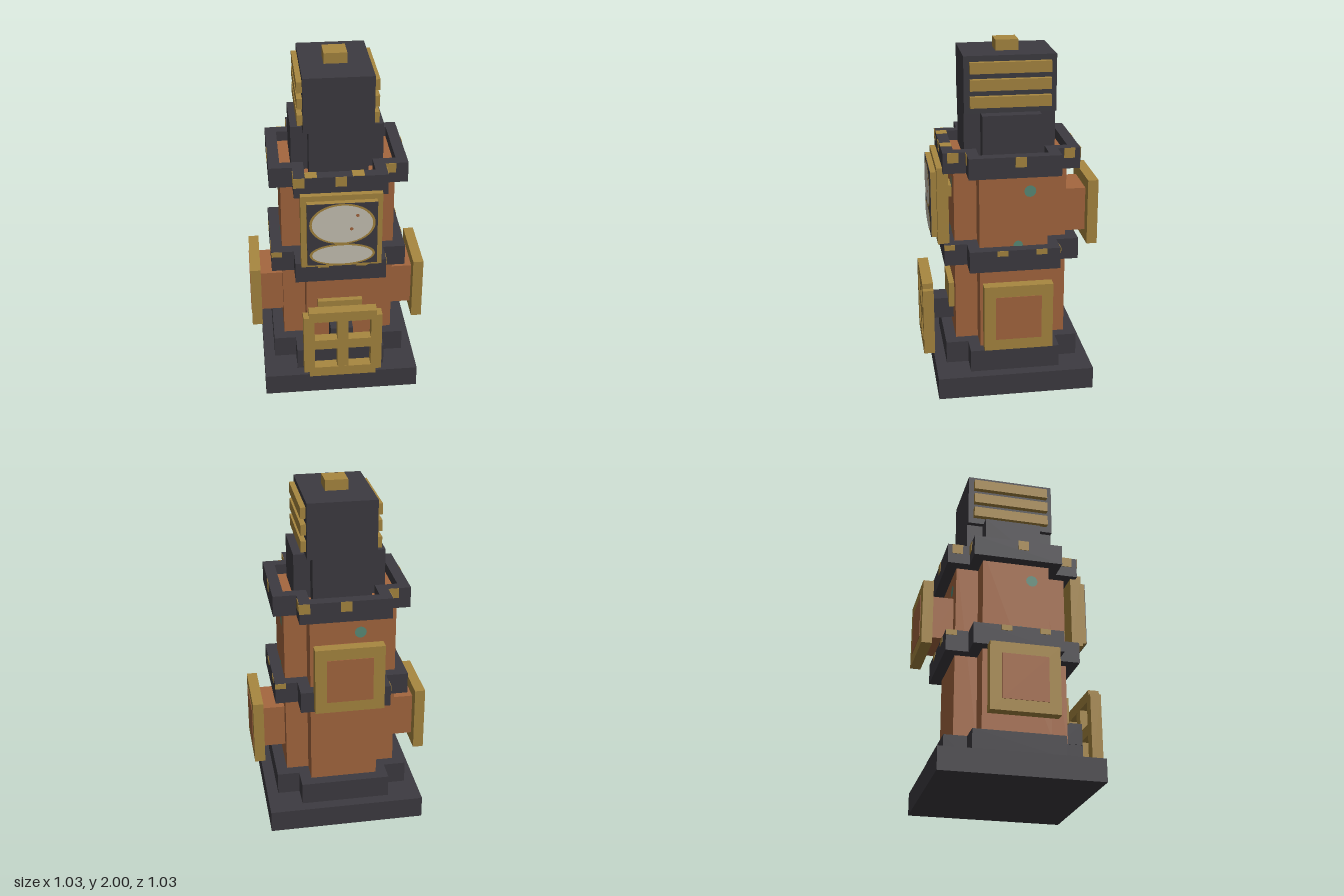
import * as THREE from 'three';

export function createModel() {
  const model = new THREE.Group();
  model.name = 'clockTower';
  const mat = (name, color) => {
    const m = new THREE.MeshStandardMaterial({ color });
    m.name = name;
    return m;
  };
  const iron = mat('dark iron', 0x3d3b41);
  const copper = mat('copper', 0xa5673f);
  const brass = mat('brass', 0xa88740);
  const ivory = mat('ivory', 0xcac4b6);
  const patina = mat('patina green', 0x5a8c78);

  const add = (name, geometry, material, parent = model) => {
    const mesh = new THREE.Mesh(geometry, material);
    mesh.name = name;
    parent.add(mesh);
    return mesh;
  };
  // box given by its two extreme corners
  const box = (name, material, x0, x1, y0, y1, z0, z1, parent) => {
    const g = new THREE.BoxGeometry(x1 - x0, y1 - y0, z1 - z0);
    g.translate((x0 + x1) / 2, (y0 + y1) / 2, (z0 + z1) / 2);
    return add(name, g, material, parent);
  };
  // cross-shaped plan: a = arm reach, b = arm half width
  const crossPoints = (a, b) => [
    [b, a], [-b, a], [-b, b], [-a, b], [-a, -b], [-b, -b],
    [-b, -a], [b, -a], [b, -b], [a, -b], [a, b], [b, b],
  ].map(([x, y]) => new THREE.Vector2(x, y));
  const cross = (name, material, a, b, y0, y1, hole) => {
    const shape = new THREE.Shape(crossPoints(a, b));
    if (hole) shape.holes.push(new THREE.Path(crossPoints(...hole)));
    const g = new THREE.ExtrudeGeometry(shape, { depth: y1 - y0, bevelEnabled: false });
    g.rotateX(-Math.PI / 2);
    g.translate(0, y0, 0);
    return add(name, g, material);
  };

  // stacked tower
  box('base', iron, -0.452, 0.452, 0, 0.129, -0.452, 0.452);
  cross('plinth', iron, 0.387, 0.258, 0.129, 0.26);
  cross('body', copper, 0.323, 0.194, 0.26, 1.36);
  cross('lowerRing', iron, 0.387, 0.258, 0.75, 0.875);
  cross('upperRing', iron, 0.387, 0.258, 1.3, 1.42, [0.323, 0.194]);
  cross('chimneyFoot', iron, 0.258, 0.165, 1.36, 1.62);
  box('chimney', iron, -0.194, 0.194, 1.62, 1.94, -0.258, 0.258);
  box('cap', brass, -0.0645, 0.0645, 1.94, 2, -0.0645, 0.0645);

  // chimney side bars
  for (const s of [-1, 1]) {
    for (const y of [1.687, 1.782, 1.877]) {
      const bar = new THREE.BoxGeometry(0.03, 0.062, 0.452);
      bar.translate(s * 0.209, y, 0);
      add('chimneyBar', bar, brass);
    }
  }

  // rivets and patina repeated on the four sides
  const rivets = {
    front: { upper: [-0.23, 0, 0.287], lower: [-0.357, -0.1, 0.12] },
    side: { upper: [-0.33, 0.03, 0.325], lower: [-0.357, -0.07, 0.15] },
  };
  for (let i = 0; i < 4; i++) {
    const side = new THREE.Group();
    side.name = 'sideDetails';
    side.rotation.y = (i * Math.PI) / 2;
    model.add(side);
    const set = i % 2 ? rivets.side : rivets.front;
    const rivet = (x, y0, y1) => {
      const z = Math.abs(x) > 0.258 ? 0.258 : 0.387;
      box('rivet', brass, x - 0.031, x + 0.031, y0, y1, z, z + 0.003, side);
    };
    set.upper.forEach((x) => rivet(x, 1.362, 1.42));
    set.lower.forEach((x) => rivet(x, 0.843, 0.875));
    for (const [x, y, r] of [[0.092, 1.2, 0.034], [0.025, 0.88, 0.028]]) {
      const spot = new THREE.CircleGeometry(r, 12);
      spot.translate(x, y, 0.326);
      add('patinaSpot', spot, patina, side);
    }
  }
  for (const x of [-0.163, 0.096]) {
    box('ringTopRivet', brass, x - 0.033, x + 0.033, 1.42, 1.423, 0.323, 0.387);
  }

  // copper stems with brass plates: left, right and back
  const port = (name, angle, y) => {
    const g = new THREE.Group();
    g.name = name;
    g.rotation.y = angle;
    g.position.y = y;
    box('portStem', copper, -0.129, 0.129, -0.129, 0.129, 0.31, 0.452, g);
    box('portPlate', brass, -0.194, 0.194, -0.194, 0.194, 0.452, 0.513, g);
    box('portPanel', copper, -0.129, 0.129, -0.129, 0.129, 0.513, 0.516, g);
    model.add(g);
  };
  port('leftPort', Math.PI / 2, 0.52);
  port('rightPort', -Math.PI / 2, 0.52);
  port('backPort', Math.PI, 1.005);

  // dial box on the upper front
  const dial = new THREE.Group();
  dial.name = 'dialBox';
  model.add(dial);
  box('dialMount', brass, -0.0645, 0.0645, 1.1, 1.165, 0.31, 0.355, dial);
  box('dialFrame', brass, -0.226, 0.226, 0.872, 1.325, 0.355, 0.42, dial);
  box('dialCase', brass, -0.194, 0.194, 0.905, 1.293, 0.42, 0.452, dial);
  box('dialFace', iron, -0.194, 0.194, 0.905, 1.293, 0.452, 0.455, dial);
  const ellipse = (name, material, x, y, rx, ry, z) => {
    const g = new THREE.CircleGeometry(1, 40);
    g.scale(rx, ry, 1);
    g.translate(x, y, z);
    add(name, g, material, dial);
  };
  for (const [y, ry] of [[1.165, 0.118], [0.97, 0.06]]) {
    ellipse('dialRim', brass, 0, y, 0.182, ry + 0.01, 0.457);
    ellipse('dial', ivory, 0, y, 0.168, ry, 0.459);
  }
  for (const [x, y] of [[0.083, 1.218], [0.05, 1.135]]) {
    ellipse('dialSpeck', copper, x, y, 0.01, 0.01, 0.461);
  }

  // lattice wheel on the lower front
  const lattice = new THREE.Group();
  lattice.name = 'lattice';
  model.add(lattice);
  const z0 = 0.452, z1 = 0.515;
  box('latticeShaft', iron, -0.0645, 0.0645, 0.33, 0.457, 0.31, z0, lattice);
  box('latticeBackPlate', brass, -0.129, 0.129, 0.43, 0.583, 0.31, 0.355, lattice);
  for (const s of [-1, 1]) {
    const post = new THREE.BoxGeometry(0.063, 0.387, z1 - z0);
    post.translate(s * 0.1945, 0.39, (z0 + z1) / 2);
    add('latticePost', post, brass, lattice);
    const rail = new THREE.BoxGeometry(0.388, 0.063, z1 - z0);
    rail.translate(0, 0.39 + s * 0.1945, (z0 + z1) / 2);
    add('latticeRail', rail, brass, lattice);
  }
  box('latticeUpright', brass, -0.032, 0.032, 0.225, 0.555, z0 + 0.001, z1 - 0.001, lattice);
  box('latticeCrossbar', brass, -0.165, 0.165, 0.358, 0.422, z0 + 0.002, z1 - 0.002, lattice);

  return model;
}
